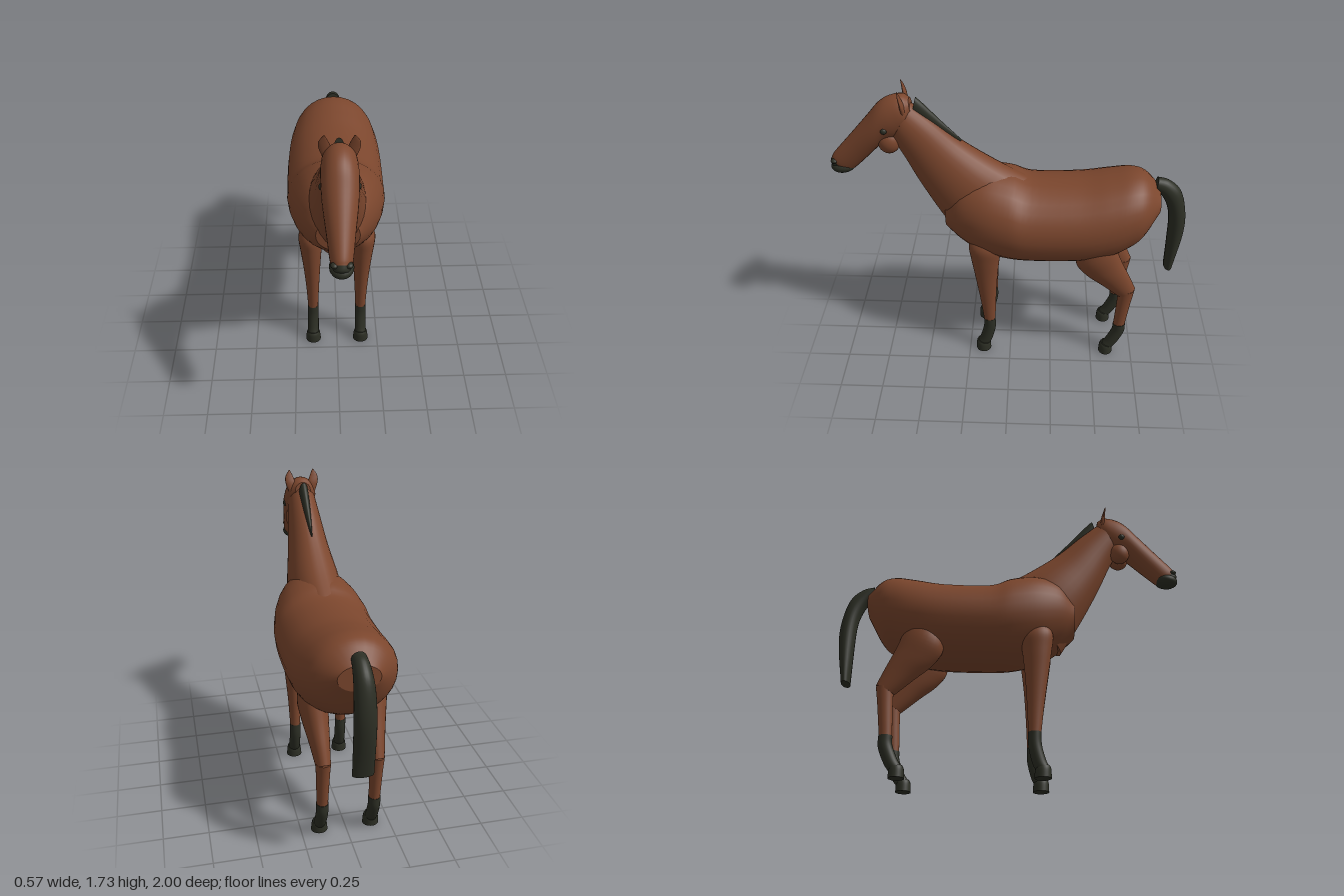
import * as THREE from 'three';

const coat = new THREE.MeshStandardMaterial({ color: 0x7b462d });
coat.name = 'chestnut coat';
const dark = new THREE.MeshStandardMaterial({ color: 0x2c2e24 });
dark.name = 'dark points';

const SIDES = 28;

// Skin elliptical rings. Each section spans (za, ya) to (zb, yb) in profile,
// with half width w and sideways centre cx: [za, ya, zb, yb, w, cx].
function loft(name, material, sections, steps = 5) {
  const curve = (f) => new THREE.CatmullRomCurve3(sections.map(f), false, 'catmullrom', 0.5);
  const a = curve((s) => new THREE.Vector3(s[5] || 0, s[1], s[0]));
  const b = curve((s) => new THREE.Vector3(s[4], s[3], s[2]));
  const n = (sections.length - 1) * steps;
  const pos = [];
  const index = [];
  for (let i = 0; i <= n; i++) {
    const p = a.getPoint(i / n);
    const q = b.getPoint(i / n);
    for (let j = 0; j < SIDES; j++) {
      const t = (j / SIDES) * Math.PI * 2;
      const k = Math.cos(t) / 2;
      pos.push(p.x + q.x * Math.sin(t),
        (p.y + q.y) / 2 + (p.y - q.y) * k,
        (p.z + q.z) / 2 + (p.z - q.z) * k);
    }
  }
  const at = (i, j) => i * SIDES + (j % SIDES);
  for (let i = 0; i < n; i++) {
    for (let j = 0; j < SIDES; j++) {
      index.push(at(i, j), at(i, j + 1), at(i + 1, j), at(i + 1, j), at(i, j + 1), at(i + 1, j + 1));
    }
  }
  // Flat end caps with their own vertices
  for (const ring of [0, n]) {
    const base = pos.length / 3;
    pos.push(...pos.slice(ring * SIDES * 3, (ring + 1) * SIDES * 3));
    for (let j = 1; j < SIDES - 1; j++) {
      if (ring === 0) index.push(base, base + j + 1, base + j);
      else index.push(base, base + j, base + j + 1);
    }
  }
  // Turn all faces outward
  let volume = 0;
  const v = (i) => new THREE.Vector3().fromArray(pos, i * 3);
  for (let i = 0; i < index.length; i += 3) {
    volume += v(index[i]).dot(v(index[i + 1]).cross(v(index[i + 2])));
  }
  if (volume < 0) index.reverse();
  const g = new THREE.BufferGeometry();
  g.setAttribute('position', new THREE.Float32BufferAttribute(pos, 3));
  g.setIndex(index);
  g.computeVertexNormals();
  const mesh = new THREE.Mesh(g, material);
  mesh.name = name;
  return mesh;
}

function ball(name, material, x, y, z, rx, ry, rz, tilt = 0) {
  const mesh = new THREE.Mesh(new THREE.SphereGeometry(1, 24, 16), material);
  mesh.name = name;
  mesh.position.set(x, y, z);
  mesh.scale.set(rx, ry, rz);
  mesh.rotation.x = tilt;
  return mesh;
}

export function createModel() {
  const horse = new THREE.Group();
  horse.name = 'horse';

  // Barrel, from chest to rump
  horse.add(loft('body', coat, [
    [0.365, 1.08, 0.365, 0.87, 0.12],
    [0.28, 1.2, 0.28, 0.79, 0.19],
    [0.15, 1.24, 0.17, 0.72, 0.245],
    [0, 1.22, 0.03, 0.683, 0.277],
    [-0.12, 1.175, -0.12, 0.675, 0.284],
    [-0.38, 1.18, -0.38, 0.683, 0.285],
    [-0.55, 1.21, -0.54, 0.705, 0.273],
    [-0.67, 1.23, -0.65, 0.755, 0.247],
    [-0.75, 1.21, -0.74, 0.83, 0.205],
    [-0.83, 1.13, -0.83, 0.99, 0.11],
  ]));

  // Neck
  horse.add(loft('neck', coat, [
    [-0.12, 1.165, 0.285, 0.765, 0.16],
    [0.08, 1.275, 0.4, 0.955, 0.155],
    [0.27, 1.405, 0.51, 1.16, 0.122],
    [0.41, 1.53, 0.58, 1.31, 0.1],
    [0.53, 1.63, 0.64, 1.43, 0.084],
  ]));

  // Head
  horse.add(loft('head', coat, [
    [0.535, 1.66, 0.52, 1.57, 0.045],
    [0.575, 1.68, 0.545, 1.5, 0.08],
    [0.64, 1.668, 0.6, 1.44, 0.091],
    [0.7, 1.63, 0.67, 1.41, 0.09],
    [0.77, 1.55, 0.72, 1.37, 0.085],
    [0.88, 1.425, 0.79, 1.3, 0.069],
    [0.965, 1.33, 0.87, 1.225, 0.055],
    [0.985, 1.3, 0.905, 1.215, 0.046],
  ]));
  horse.add(loft('nose', dark, [
    [0.983, 1.302, 0.903, 1.215, 0.047],
    [0.996, 1.275, 0.935, 1.212, 0.036],
    [0.99, 1.255, 0.955, 1.22, 0.015],
  ]));
  horse.add(ball('muzzle', dark, 0, 1.242, 0.929, 0.058, 0.04, 0.069, 0.1));

  for (const s of [1, -1]) {
    const side = s > 0 ? 'left' : 'right';

    // Cheeks, eyes, nostrils and ears
    horse.add(ball(side + 'Cheek', coat, s * 0.038, 1.415, 0.655, 0.046, 0.066, 0.06));
    horse.add(ball(side + 'Eye', dark, s * 0.084, 1.505, 0.668, 0.016, 0.018, 0.018));
    horse.add(ball(side + 'Nostril', dark, s * 0.034, 1.285, 0.968, 0.018, 0.013, 0.02));
    horse.add(loft(side + 'Ear', coat, [
      [0.572, 1.6, 0.548, 1.6, 0.018, s * 0.062],
      [0.576, 1.65, 0.554, 1.65, 0.029, s * 0.068],
      [0.58, 1.69, 0.567, 1.69, 0.023, s * 0.074],
      [0.584, 1.727, 0.58, 1.727, 0.003, s * 0.071],
    ]));

    // Front leg, sock and hoof
    horse.add(loft(side + 'FrontLeg', coat, [
      [0.21, 0.87, 0.09, 0.87, 0.045, s * 0.15],
      [0.235, 0.81, 0.055, 0.8, 0.066, s * 0.153],
      [0.225, 0.72, 0.062, 0.71, 0.062, s * 0.15],
      [0.204, 0.58, 0.075, 0.58, 0.05, s * 0.147],
      [0.178, 0.4, 0.085, 0.4, 0.038, s * 0.145],
      [0.16, 0.25, 0.09, 0.25, 0.031, s * 0.145],
    ]));
    horse.add(loft(side + 'FrontSock', dark, [
      [0.16, 0.25, 0.09, 0.25, 0.033, s * 0.145],
      [0.162, 0.18, 0.09, 0.17, 0.033, s * 0.145],
      [0.182, 0.1, 0.112, 0.075, 0.033, s * 0.146],
      [0.2, 0.06, 0.135, 0.035, 0.033, s * 0.147],
    ]));
    horse.add(loft(side + 'FrontHoof', dark, [
      [0.2, 0.07, 0.125, 0.05, 0.037, s * 0.147],
      [0.208, 0.05, 0.122, 0.035, 0.042, s * 0.147],
      [0.21, 0, 0.12, 0, 0.046, s * 0.147],
    ]));

    // Hind leg: thigh, shank, sock and hoof
    horse.add(loft(side + 'Thigh', coat, [
      [-0.4, 0.88, -0.56, 0.92, 0.06, s * 0.16],
      [-0.375, 0.73, -0.6, 0.82, 0.08, s * 0.16],
      [-0.43, 0.635, -0.645, 0.71, 0.07, s * 0.155],
      [-0.53, 0.55, -0.695, 0.605, 0.054, s * 0.149],
      [-0.635, 0.46, -0.735, 0.515, 0.04, s * 0.145],
    ]));
    horse.add(loft(side + 'Shank', coat, [
      [-0.638, 0.5, -0.735, 0.505, 0.041, s * 0.145],
      [-0.637, 0.4, -0.72, 0.4, 0.036, s * 0.145],
      [-0.63, 0.23, -0.7, 0.23, 0.031, s * 0.145],
    ]));
    horse.add(loft(side + 'HindSock', dark, [
      [-0.628, 0.23, -0.702, 0.23, 0.033, s * 0.145],
      [-0.625, 0.18, -0.7, 0.165, 0.033, s * 0.145],
      [-0.595, 0.105, -0.665, 0.08, 0.033, s * 0.146],
      [-0.57, 0.065, -0.635, 0.035, 0.033, s * 0.147],
    ]));
    horse.add(loft(side + 'HindHoof', dark, [
      [-0.567, 0.07, -0.635, 0.05, 0.037, s * 0.147],
      [-0.557, 0.05, -0.637, 0.035, 0.042, s * 0.147],
      [-0.553, 0, -0.638, 0, 0.046, s * 0.147],
    ]));
  }

  // Mane along the crest
  horse.add(loft('mane', dark, [
    [0.5, 1.665, 0.525, 1.56, 0.026],
    [0.46, 1.625, 0.49, 1.54, 0.025],
    [0.37, 1.525, 0.4, 1.47, 0.018],
    [0.265, 1.415, 0.29, 1.395, 0.004],
  ]));

  // Tail
  horse.add(loft('tail', dark, [
    [-0.815, 1.197, -0.8, 1.12, 0.038],
    [-0.88, 1.178, -0.85, 1.075, 0.045],
    [-0.95, 1.11, -0.885, 1.0, 0.052],
    [-0.99, 0.97, -0.9, 0.92, 0.056],
    [-0.995, 0.82, -0.905, 0.8, 0.057],
    [-0.96, 0.58, -0.91, 0.58, 0.056],
  ]));

  return horse;
}
